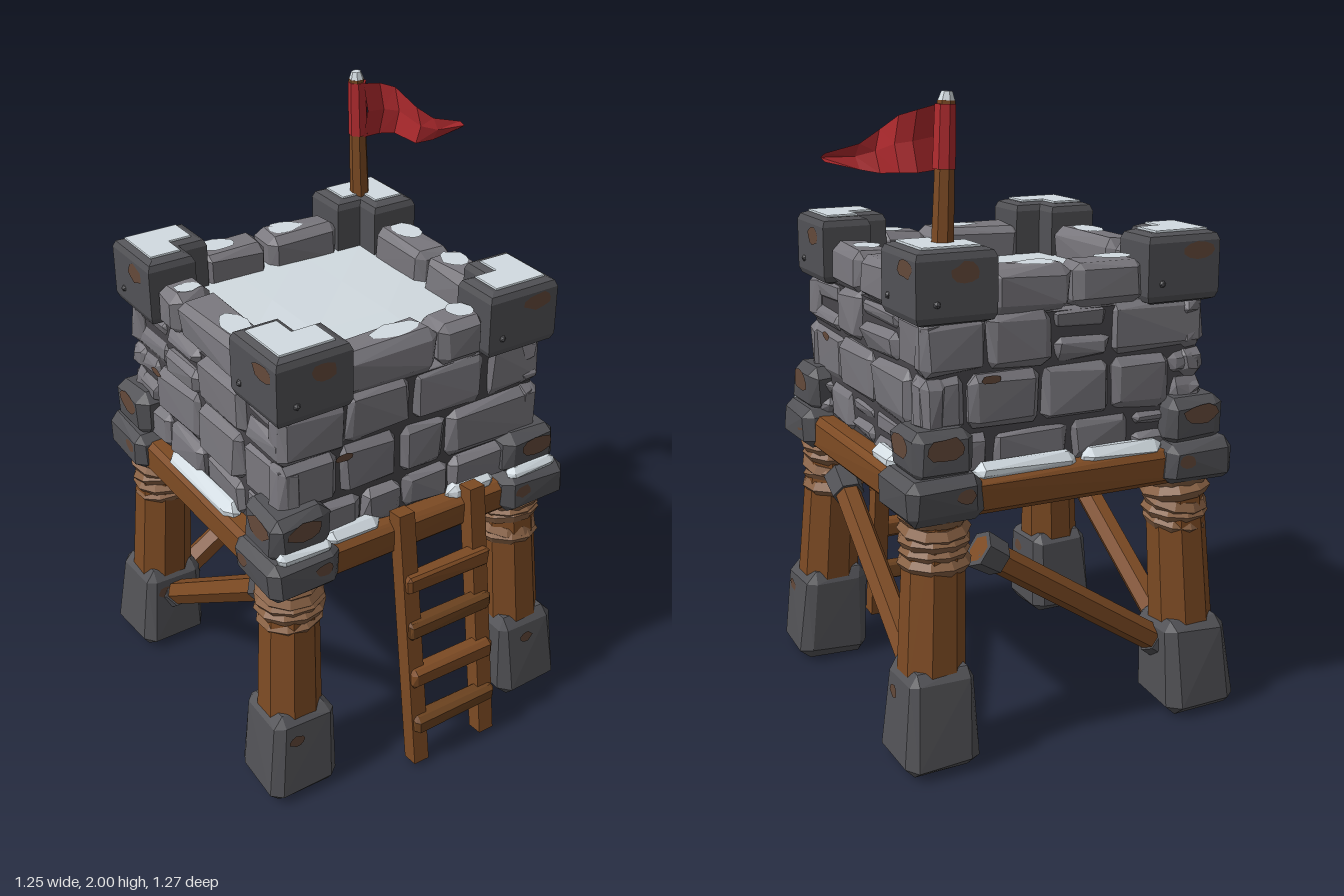
import * as THREE from 'three';
import { ConvexGeometry } from 'three/addons/geometries/ConvexGeometry.js';

const mat = (name, color, extra = {}) =>
  Object.assign(new THREE.MeshStandardMaterial({ color, flatShading: true, ...extra }), { name });

export function createModel() {
  const stone = mat('wall stone', 0x79777d);
  const dark = mat('corner stone', 0x525256);
  const mortar = mat('mortar', 0x48464a);
  const wood = mat('wood', 0x7c4a23);
  const darkWood = mat('dark wood', 0x6b421f);
  const rope = mat('rope', 0x886144);
  const snow = mat('snow', 0xd2dbe1);
  const rust = mat('rust', 0x64493a);
  const red = mat('flag red', 0xb02a2e, { side: THREE.DoubleSide });

  let seed = 11;
  const rnd = () => (seed = (seed * 16807) % 2147483647) / 2147483647;

  const add = (parent, name, geo, material) => {
    const mesh = new THREE.Mesh(geo, material);
    mesh.name = name;
    parent.add(mesh);
    return mesh;
  };
  const group = (parent, name) => {
    const g = new THREE.Group();
    g.name = name;
    parent.add(g);
    return g;
  };

  // Chamfered, slightly irregular block filling lo..hi
  const rock = (parent, name, material, lo, hi, bevel = 0.025, jitter = 0.012, taper = 1) => {
    const pts = [];
    for (let c = 0; c < 8; c++) for (let a = 0; a < 3; a++) {
      const p = [0, 1, 2].map(i => {
        const s = (c >> i) & 1 ? 1 : -1;
        const half = (hi[i] - lo[i]) / 2;
        const inset = Math.min(i === a ? 0 : bevel, half * 0.6) + rnd() * Math.min(jitter, half * 0.3);
        return s * (half - inset);
      });
      const k = (c >> 1) & 1 ? taper : 1;
      pts.push(new THREE.Vector3(p[0] * k + (lo[0] + hi[0]) / 2, p[1] + (lo[1] + hi[1]) / 2, p[2] * k + (lo[2] + hi[2]) / 2));
    }
    return add(parent, name, new ConvexGeometry(pts), material);
  };

  // Tapered pole from a to b
  const pole = (parent, name, material, a, b, ra, rb, sides = 8) => {
    const A = new THREE.Vector3(...a), B = new THREE.Vector3(...b);
    const dir = B.clone().sub(A);
    const geo = new THREE.CylinderGeometry(rb, ra, dir.length(), sides).rotateY(Math.PI / sides);
    const m = add(parent, name, geo, material);
    m.position.copy(A).lerp(B, 0.5);
    m.quaternion.setFromUnitVectors(new THREE.Vector3(0, 1, 0), dir.normalize());
    return m;
  };

  // Thin irregular stain; facing is 'x', 'y' or 'z'
  const patch = (parent, name, material, pos, w, h, facing) => {
    const geo = new THREE.CircleGeometry(1, 11);
    const p = geo.attributes.position;
    for (let i = 1; i < p.count - 1; i++) {
      const k = 0.75 + rnd() * 0.25;
      p.setXY(i, p.getX(i) * k, p.getY(i) * k);
    }
    p.setXY(p.count - 1, p.getX(1), p.getY(1));
    geo.scale(w / 2, h / 2, 1);
    if (facing === 'x') geo.rotateY(Math.PI / 2);
    if (facing === 'y') geo.rotateX(-Math.PI / 2);
    add(parent, name, geo, material).position.set(...pos);
  };

  // L-shaped slab around the +x +z corner
  const corner = (outer, thick, inner, y0, y1, bevel) => {
    const t = outer - thick;
    const shape = new THREE.Shape([[outer, -outer], [outer, -inner], [t, -inner], [t, -t], [inner, -t], [inner, -outer]]
      .map(([x, y]) => new THREE.Vector2(x, y)));
    const geo = new THREE.ExtrudeGeometry(shape, {
      depth: y1 - y0 - 2 * bevel, bevelThickness: bevel, bevelSize: bevel,
      bevelOffset: -bevel, bevelSegments: 2, curveSegments: 1,
    });
    return geo.rotateX(-Math.PI / 2).translate(0, y0 + bevel, 0);
  };

  const model = new THREE.Group();
  model.name = 'watchtower';
  const tower = group(model, 'tower');
  tower.position.set(-0.03, 0, -0.045);

  // Legs with stone feet and rope lashings
  for (const sx of [-1, 1]) for (const sz of [-1, 1]) {
    const leg = group(tower, 'leg');
    const fx = sx * 0.465, fz = sz * 0.462;
    // Feet lean in towards the posts
    const foot = rock(leg, 'foot', dark, [-0.129, 0, -0.129], [0.129, 0.325, 0.129], 0.032, 0.012, 0.88);
    foot.geometry.applyMatrix4(new THREE.Matrix4().makeShear(0, 0, -sx * 0.06, -sz * 0.04, 0, 0));
    foot.position.set(fx, 0, fz);
    pole(leg, 'post', wood, [sx * 0.45, 0.25, sz * 0.45], [sx * 0.42, 0.82, sz * 0.42], 0.105, 0.092);
    // Chunky uneven wraps
    for (let i = 0; i < 5; i++) {
      const wrap = add(leg, 'rope', new THREE.TorusGeometry(0.085, 0.026, 5, 10).rotateX(Math.PI / 2), rope);
      wrap.position.set(sx * 0.425, 0.635 + i * 0.035, sz * 0.425);
      wrap.rotation.set((rnd() - 0.5) * 0.35, rnd() * 6, (rnd() - 0.5) * 0.35);
      wrap.scale.setScalar(0.94 + rnd() * 0.1);
    }
    patch(leg, 'rust', rust, [fx - 0.03, 0.24, fz + 0.115 - sz * 0.008], 0.06, 0.05, 'z');
    patch(leg, 'rust', rust, [fx + 0.114 - sx * 0.012, 0.24, fz + 0.03], 0.06, 0.05, 'x');
  }

  // Diagonal braces on the two sides and the back
  const brace = (top, low) => {
    const g = group(tower, 'brace');
    const at = t => top.map((v, i) => v + (low[i] - v) * t);
    pole(g, 'brace beam', wood, top, low, 0.045, 0.045, 6);
    pole(g, 'brace sleeve', dark, at(0), at(0.1), 0.062, 0.056, 6);
    pole(g, 'brace sleeve', dark, at(0.9), at(1), 0.052, 0.058, 6);
  };
  brace([0.43, 0.68, 0.34], [0.45, 0.18, -0.4]);
  brace([-0.43, 0.68, 0.34], [-0.45, 0.18, -0.4]);
  brace([0.28, 0.645, -0.43], [-0.4, 0.2, -0.45]);

  // Platform
  add(tower, 'platform', new THREE.BoxGeometry(0.98, 0.09, 0.98).translate(0, 0.845, 0), wood);

  // Wall core and snowy roof floor
  add(tower, 'wall core', new THREE.BoxGeometry(0.92, 0.48, 0.92).translate(0, 1.12, 0), mortar);
  const floorGeo = new THREE.PlaneGeometry(0.8, 0.8, 3, 3).rotateX(-Math.PI / 2);
  const fp = floorGeo.attributes.position;
  for (let i = 0; i < fp.count; i++) fp.setY(i, 1.385 + rnd() * 0.02);
  add(tower, 'snowy floor', floorGeo, snow);

  // Four sides: beam, coursed stones, parapet and corners
  const rows = [[0.89, 1.03], [1.025, 1.205], [1.2, 1.375]];
  const splits = [0.67, 0.46, 0.53, 0.24];
  const drifts = [[[-0.34, -0.13], [0.12, 0.31]], [[0.14, 0.32]], [[-0.33, 0.02], [0.04, 0.33]], [[-0.2, 0.22]]];
  for (let k = 0; k < 4; k++) {
    const side = group(tower, 'side');
    side.rotation.y = k * Math.PI / 2;
    rock(side, 'platform beam', wood, [-0.45, 0.78, 0.41], [0.45, 0.9, 0.532], 0.02, 0.006);
    for (const [a, b] of drifts[k])
      rock(side, 'beam snow', snow, [a, 0.87, 0.45], [b, 0.94, 0.518], 0.025);

    for (const [y0, y1] of rows) {
      let x = -0.487;
      while (x < 0.48) {
        let end = x + 0.14 + rnd() * 0.16;
        if (end > 0.37) end = 0.487;
        const out = 0.48 + rnd() * 0.02;
        const mid = rnd() < 0.25 ? y0 + (y1 - y0) * (0.4 + rnd() * 0.2) : y1;
        rock(side, 'wall stone', stone, [x - 0.002, y0, 0.39], [end + 0.002, mid, out], 0.022, 0.015);
        if (mid < y1) rock(side, 'wall stone', stone, [x - 0.002, mid, 0.39], [end + 0.002, y1, out - 0.01], 0.02, 0.013);
        x = end;
      }
    }
    patch(side, 'rust', rust, [-0.27, 1.185, 0.496], 0.07, 0.03, 'z');

    const cut = -0.255 + 0.51 * splits[k];
    for (const [a, b] of [[-0.265, cut], [cut, 0.265]]) {
      rock(side, 'parapet stone', stone, [a, 1.355, 0.335], [b, 1.505, 0.485], 0.026, 0.012);
      patch(side, 'parapet snow', snow, [a * 0.35 + b * 0.65, 1.504, 0.41], (b - a) * 0.52, 0.1, 'y');
    }

    rock(side, 'lower corner block', dark, [0.31, 0.78, 0.31], [0.565, 0.925, 0.565], 0.028, 0.01);
    rock(side, 'upper corner block', dark, [0.325, 0.9, 0.325], [0.538, 1.065, 0.538], 0.03, 0.012);
    patch(side, 'rust', rust, [0.44, 1.005, 0.537], 0.14, 0.08, 'z');
    patch(side, 'rust', rust, [0.537, 1.005, 0.43], 0.14, 0.08, 'x');
    patch(side, 'rust', rust, [0.38, 0.865, 0.563], 0.07, 0.05, 'z');
    patch(side, 'rust', rust, [0.563, 0.865, 0.38], 0.07, 0.05, 'x');
    // Snow caught on the front ledges
    if (k === 0) rock(side, 'ledge snow', snow, [0.33, 0.9, 0.5], [0.53, 0.95, 0.552], 0.02);
    if (k === 3) rock(side, 'ledge snow', snow, [0.5, 0.9, 0.33], [0.552, 0.95, 0.53], 0.02);

    const merlon = group(side, 'merlon');
    merlon.rotation.y = (rnd() - 0.5) * 0.03;
    add(merlon, 'merlon stone', corner(0.505, 0.165, 0.25, 1.355, 1.572, 0.028), dark);
    add(merlon, 'merlon snow', corner(0.475, 0.105, 0.29, 1.57, 1.579, 0.003), snow);
    patch(merlon, 'rust', rust, [0.43, 1.515, 0.507], 0.12, 0.06, 'z');
    patch(merlon, 'rust', rust, [0.507, 1.505, 0.35], 0.1, 0.07, 'x');
    for (const [x, z] of [[0.3, 0.504], [0.504, 0.44]])
      add(merlon, 'stud', new THREE.IcosahedronGeometry(0.012, 0), dark).position.set(x, 1.42, z);
  }

  // Ladder leaning on the front
  const ladder = group(model, 'ladder');
  for (const x of [-0.108, 0.162])
    pole(ladder, 'ladder rail', wood, [x, 0.012, 0.6], [x, 0.94, 0.482], 0.04, 0.04, 4);
  [0.17, 0.35, 0.53, 0.7].forEach((y, i) => {
    const z = 0.605 - y * 0.126;
    rock(ladder, 'rung', i % 2 ? wood : darkWood, [-0.135, y - 0.037, z - 0.015], [0.192, y + 0.037, z + 0.05], 0.012, 0.008);
  });

  // Flagpole with snow cap
  const flag = group(model, 'flag');
  pole(flag, 'flagpole', wood, [0.343, 1.54, -0.43], [0.327, 1.975, -0.43], 0.034, 0.026, 7);
  pole(flag, 'pole snow', snow, [0.327, 1.972, -0.43], [0.325, 2.0, -0.43], 0.026, 0.016, 7);
  pole(flag, 'flag sleeve', red, [0.336, 1.785, -0.43], [0.33, 1.965, -0.43], 0.034, 0.031, 7);

  // Waving flag: x, z, top, bottom of each section
  const sections = [
    [0.335, -0.4, 1.965, 1.78], [0.41, -0.415, 1.95, 1.775], [0.455, -0.39, 1.935, 1.775],
    [0.473, -0.29, 1.89, 1.765], [0.525, -0.265, 1.85, 1.775], [0.625, -0.25, 1.825, 1.8],
  ];
  const verts = sections.flatMap(([x, z, t, b]) => [x, t, z, x + 0.008, (t + b) / 2, z + 0.015, x, b, z]);
  const index = [];
  for (let i = 0; i < sections.length - 1; i++) for (let j = 0; j < 2; j++) {
    const a = i * 3 + j;
    index.push(a, a + 1, a + 3, a + 1, a + 4, a + 3);
  }
  const cloth = new THREE.BufferGeometry();
  cloth.setAttribute('position', new THREE.Float32BufferAttribute(verts, 3));
  cloth.setIndex(index);
  cloth.computeVertexNormals();
  add(flag, 'flag cloth', cloth, red);

  return model;
}
